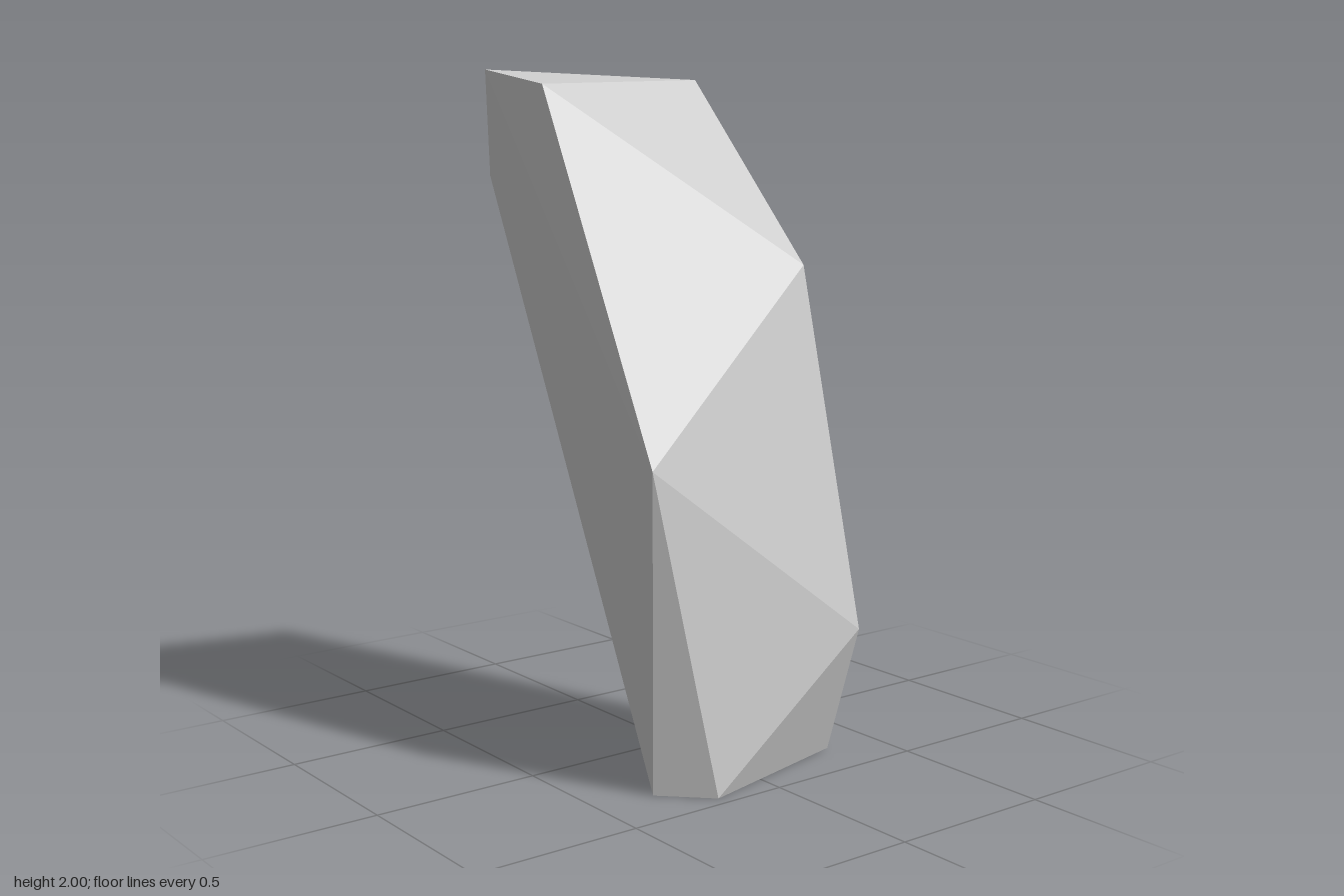
import * as THREE from 'three';
import { ConvexGeometry } from 'three/addons/geometries/ConvexGeometry.js';

// A leaning, faceted rock shard: the convex solid around its twelve corners.
export function createModel() {
  const corners = [
    // pointed top
    [-0.465, 2.0, 0.335], [-0.185, 1.955, 0.32], [-0.322, 1.975, -0.338],
    // upper left edge
    [-0.445, 1.69, 0.335], [-0.447, 1.82, -0.2],
    // bulging right side
    [0.203, 1.435, -0.331], [0.335, 0.915, 0.32], [0.463, 0.395, -0.331],
    // flat foot
    [0.335, 0, 0.32], [0.463, 0, 0.19], [0.335, 0, -0.33], [0.203, 0, 0.052],
  ].map((p) => new THREE.Vector3(...p));

  const material = new THREE.MeshStandardMaterial({ color: 0xcccccc, flatShading: true });
  const shard = new THREE.Mesh(new ConvexGeometry(corners), material);
  shard.name = 'rockShard';

  const group = new THREE.Group();
  group.name = 'rock';
  group.add(shard);
  return group;
}
